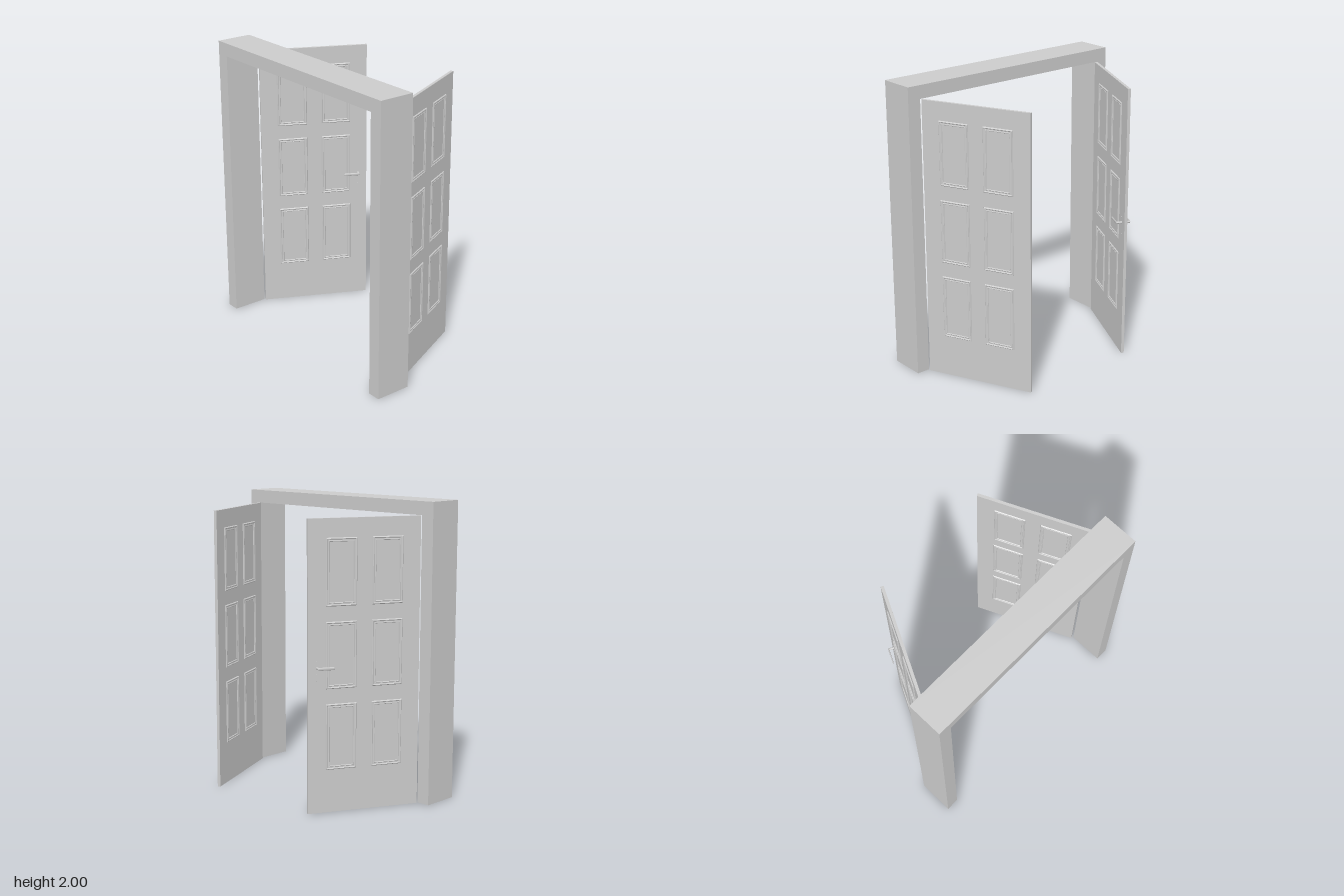
import * as THREE from 'three';

const material = new THREE.MeshStandardMaterial({ color: 0xcccccc });
const DOOR_W = 0.76, DOOR_H = 1.91, DOOR_T = 0.02;

function add(parent, name, geometry, x = 0, y = 0, z = 0) {
  const mesh = new THREE.Mesh(geometry, material);
  mesh.name = name;
  mesh.position.set(x, y, z);
  parent.add(mesh);
  return mesh;
}

// Moulding: a small [inset, height] profile swept round a rectangle with mitred corners
function mouldingGeometry(w, h) {
  const profile = [[0, 0], [0.003, 0.005], [0.006, 0.007], [0.009, 0.006], [0.012, 0.003],
    [0.018, 0.003], [0.021, 0.005], [0.024, 0.004], [0.026, 0]];
  const corners = [[-1, -1], [1, -1], [1, 1], [-1, 1]];
  const point = ([inset, rise], [sx, sy]) => [sx * (w / 2 - inset), sy * (h / 2 - inset), rise];
  const positions = [];
  for (let i = 0; i < profile.length - 1; i++) {
    for (let k = 0; k < 4; k++) {
      const a = point(profile[i], corners[k]);
      const b = point(profile[i], corners[(k + 1) % 4]);
      const c = point(profile[i + 1], corners[(k + 1) % 4]);
      const d = point(profile[i + 1], corners[k]);
      positions.push(...a, ...b, ...c, ...a, ...c, ...d);
    }
  }
  const geometry = new THREE.BufferGeometry();
  geometry.setAttribute('position', new THREE.Float32BufferAttribute(positions, 3));
  geometry.computeVertexNormals();
  return geometry;
}

// Door leaf: hinge edge at local x = 0, six moulded panels on each face
function createDoor(name) {
  const door = new THREE.Group();
  door.name = name;
  add(door, 'doorLeaf', new THREE.BoxGeometry(DOOR_W, DOOR_H, DOOR_T), DOOR_W / 2, DOOR_H / 2, 0);
  const moulding = mouldingGeometry(0.21, 0.435);
  for (const side of [1, -1]) {
    for (const x of [0.224, 0.536]) {
      for (const y of [0.503, 1.037, 1.57]) {
        const panel = add(door, 'panelMoulding', moulding, x, y, side * DOOR_T / 2);
        if (side < 0) panel.rotation.y = Math.PI;
      }
    }
  }
  return door;
}

// Lever handle: spindle through the leaf, a lever each side, keyhole and screws
function createHandle() {
  const handle = new THREE.Group();
  handle.name = 'doorHandle';
  const rod = (name, radius, length, y) => {
    add(handle, name, new THREE.CylinderGeometry(radius, radius, length, 16), 0, y, 0).rotation.x = Math.PI / 2;
  };
  rod('spindle', 0.008, 0.098, 0);
  rod('upperScrew', 0.004, DOOR_T + 0.004, 0.04);
  rod('keyhole', 0.005, DOOR_T + 0.004, -0.045);
  rod('lowerScrew', 0.003, DOOR_T + 0.004, -0.085);
  for (const side of [1, -1]) {
    const lever = add(handle, 'lever', new THREE.CapsuleGeometry(0.01, 0.096, 6, 12), -0.05, 0, side * 0.047);
    lever.rotation.z = Math.PI / 2;
    lever.scale.z = 0.4;
  }
  return handle;
}

// Surround: one upside-down U extruded front to back
function frameGeometry() {
  const outer = 0.855, inner = 0.763;
  const shape = new THREE.Shape([
    [-outer, 0], [-inner, 0], [-inner, DOOR_H], [inner, DOOR_H],
    [inner, 0], [outer, 0], [outer, 2], [-outer, 2],
  ].map(([x, y]) => new THREE.Vector2(x, y)));
  return new THREE.ExtrudeGeometry(shape, { depth: 0.249, bevelEnabled: false });
}

export function createModel() {
  const model = new THREE.Group();
  model.name = 'doubleDoor';
  add(model, 'doorFrame', frameGeometry(), 0, 0, 0.229);

  // Both leaves stand open towards the back
  const rightDoor = createDoor('rightDoor');
  rightDoor.position.set(-0.758, 0, 0.22);
  rightDoor.rotation.y = THREE.MathUtils.degToRad(63.1);
  const handle = createHandle();
  handle.position.set(0.698, 0.96, 0);
  rightDoor.add(handle);

  const leftDoor = createDoor('leftDoor');
  leftDoor.position.set(0.756, 0, 0.218);
  leftDoor.rotation.y = THREE.MathUtils.degToRad(114.5);

  model.add(rightDoor, leftDoor);
  return model;
}
